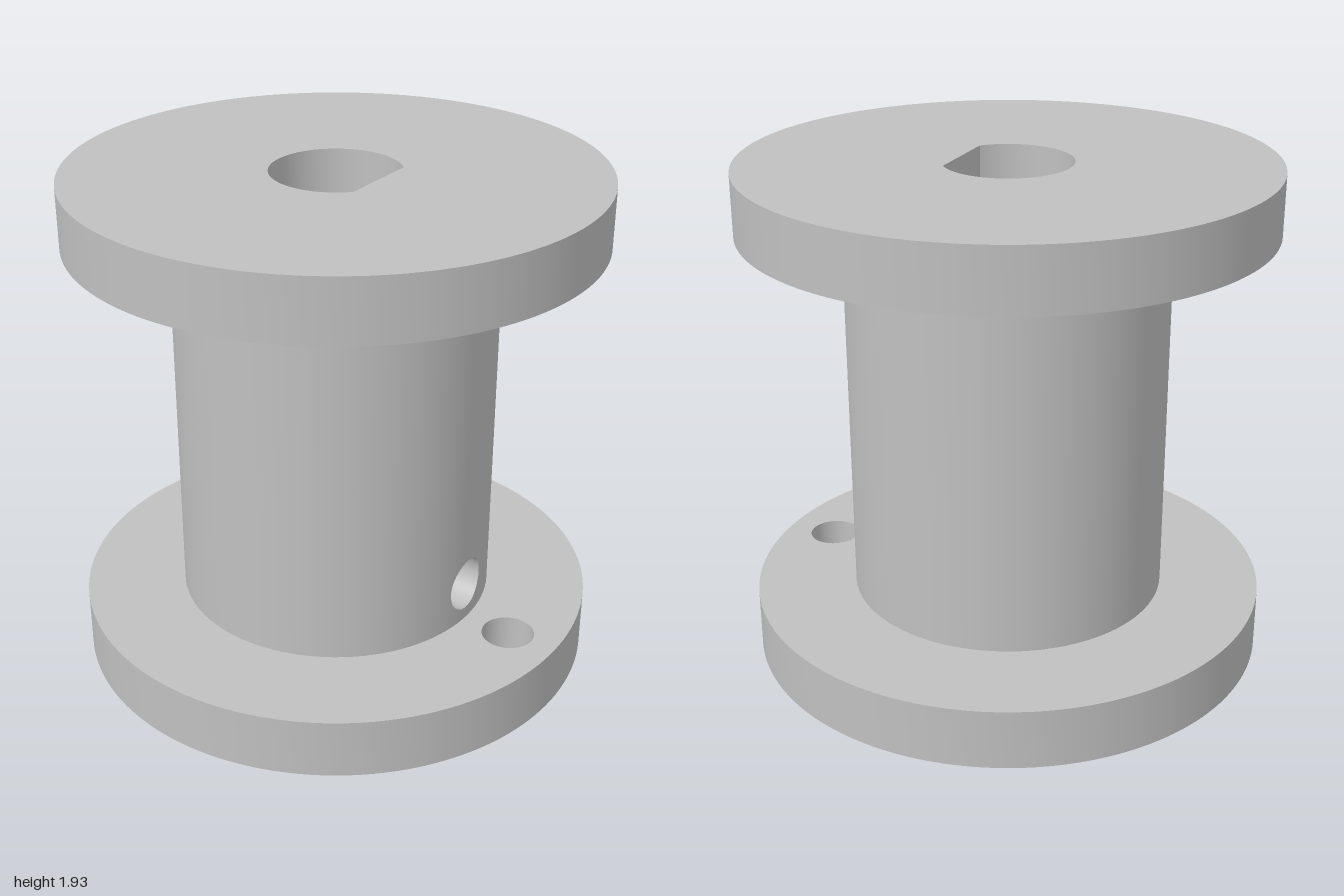
import * as THREE from 'three';
import { toCreasedNormals } from 'three/addons/utils/BufferGeometryUtils.js';

const H = 1.93, FLANGE = 0.235, FLANGE_R = 1, CORE_R = 0.613;
const BORE_R = 0.245, FLAT_X = 0.185;          // D-shaped bore, flat on +x
const SCREW_R = 0.105, SCREW_Y = 0.387;        // radial screw hole on +x
const CORE_H = H - 2 * FLANGE;
const FLAT_ANGLE = Math.acos(FLAT_X / BORE_R);
const PATCH = 0.25;                            // half angle of the wall panel around the screw hole
const PATCH_TOP = 2 * SCREW_Y - FLANGE;

// Closed strip surface: fn(t, s) gives { p, n } for t around the loop and s across it
function loopSurface(around, across, fn) {
  const pos = [], nor = [], idx = [];
  for (let j = 0; j <= across; j++) {
    for (let i = 0; i <= around; i++) {
      const { p, n } = fn((i / around) * Math.PI * 2, j / across);
      pos.push(...p);
      nor.push(...n);
      if (i < around && j < across) {
        const a = j * (around + 1) + i, b = a + around + 1;
        idx.push(a, b, a + 1, b, b + 1, a + 1);
      }
    }
  }
  const g = new THREE.BufferGeometry();
  g.setAttribute('position', new THREE.Float32BufferAttribute(pos, 3));
  g.setAttribute('normal', new THREE.Float32BufferAttribute(nor, 3));
  g.setIndex(idx);
  return g;
}

function circlePath(x, y, r) {
  return new THREE.Path().absarc(x, y, r, 0, Math.PI * 2, false);
}

// Disc with the D bore and an optional wire hole
function flangeGeometry(wireHole) {
  const disc = new THREE.Shape().absarc(0, 0, FLANGE_R, 0, Math.PI * 2, false);
  const bore = new THREE.Path().absarc(0, 0, BORE_R, FLAT_ANGLE, Math.PI * 2 - FLAT_ANGLE, false);
  bore.closePath();
  disc.holes.push(bore);
  if (wireHole) disc.holes.push(circlePath(0.8, 0, 0.1));
  const g = new THREE.ExtrudeGeometry(disc, { depth: FLANGE, bevelEnabled: false, curveSegments: 80 });
  g.rotateX(-Math.PI / 2);
  return toCreasedNormals(g, 0.5);
}

// Open cylinder wall leaving a gap of +-half around +x, or filling only that gap
function wall(r, y0, y1, half, onlyGap = false) {
  const start = Math.PI / 2 + (onlyGap ? -half : half);
  const length = onlyGap ? 2 * half : Math.PI * 2 - 2 * half;
  const g = new THREE.CylinderGeometry(r, r, y1 - y0, onlyGap ? 12 : 96, 1, true, start, length);
  return g.translate(0, (y0 + y1) / 2, 0);
}

export function createModel() {
  const grey = new THREE.MeshStandardMaterial({ color: 0xc0c0c0, side: THREE.DoubleSide });
  grey.name = 'grey';
  const model = new THREE.Group();
  model.name = 'spool';
  const add = (name, geometry, parent = model) => {
    const mesh = new THREE.Mesh(geometry, grey);
    mesh.name = name;
    parent.add(mesh);
    return mesh;
  };

  // End flanges
  add('bottomFlange', flangeGeometry(true));
  add('topFlange', flangeGeometry(false)).position.y = H - FLANGE;

  // Core outer wall
  const core = new THREE.Group();
  core.name = 'core';
  model.add(core);
  add('coreWall', wall(CORE_R, FLANGE, H - FLANGE, PATCH), core);
  add('coreWallAboveScrew', wall(CORE_R, PATCH_TOP, H - FLANGE, PATCH, true), core);

  // Wall panel blending from the round screw hole to its rectangular border
  add('screwPanel', loopSurface(48, 6, (t, s) => {
    const c = Math.cos(t), d = Math.sin(t), m = Math.max(Math.abs(c), Math.abs(d));
    const a = THREE.MathUtils.lerp(Math.asin(SCREW_R * c / CORE_R), PATCH * c / m, s);
    const y = SCREW_Y + THREE.MathUtils.lerp(SCREW_R * d, (SCREW_Y - FLANGE) * d / m, s);
    const n = [Math.cos(a), 0, -Math.sin(a)];
    return { p: [CORE_R * n[0], y, CORE_R * n[2]], n };
  }), core);

  // Screw hole lining, facing its own axis, from the core wall to the bore flat
  add('screwHole', loopSurface(48, 1, (t, s) => {
    const c = Math.cos(t), d = Math.sin(t), z = -SCREW_R * c;
    const x = THREE.MathUtils.lerp(FLAT_X, Math.sqrt(CORE_R ** 2 - z * z), s);
    return { p: [x, SCREW_Y + SCREW_R * d, z], n: [0, -d, c] };
  }), core);

  // Bore lining: round part (turned to face the axis) and the flat with the screw hole
  const bore = wall(BORE_R, FLANGE, H - FLANGE, FLAT_ANGLE);
  const index = bore.index.array;
  for (let i = 0; i < index.length; i += 3) [index[i], index[i + 1]] = [index[i + 1], index[i]];
  const normals = bore.attributes.normal.array;
  for (let i = 0; i < normals.length; i++) normals[i] *= -1;
  add('boreRound', bore, core);

  const w = BORE_R * Math.sin(FLAT_ANGLE);
  const flat = new THREE.Shape([
    new THREE.Vector2(-w, FLANGE), new THREE.Vector2(w, FLANGE),
    new THREE.Vector2(w, FLANGE + CORE_H), new THREE.Vector2(-w, FLANGE + CORE_H),
  ]);
  flat.holes.push(circlePath(0, SCREW_Y, SCREW_R));
  add('boreFlat', new THREE.ShapeGeometry(flat, 48).rotateY(-Math.PI / 2).translate(FLAT_X, 0, 0), core);

  return model;
}
